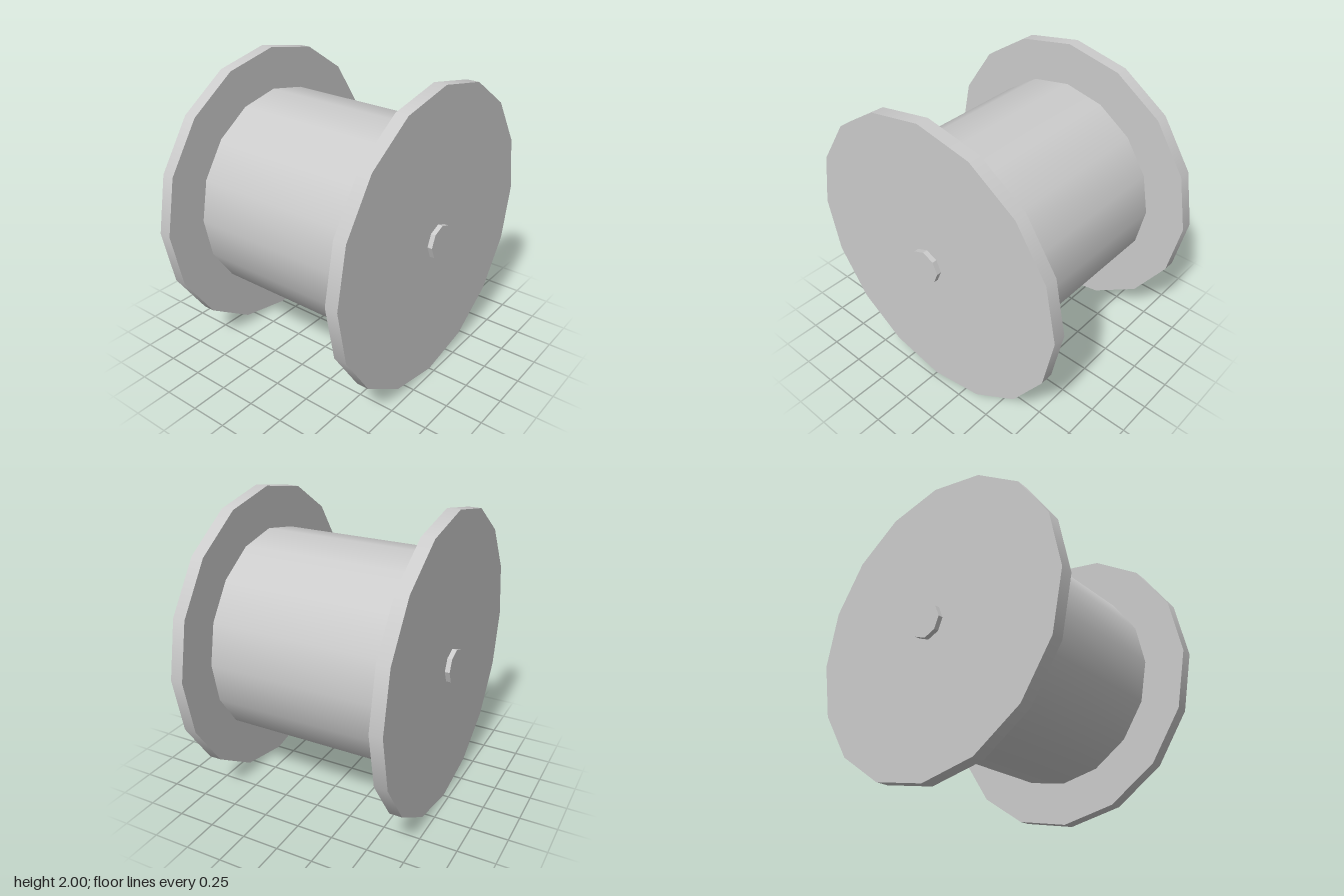
import * as THREE from 'three';

const smooth = new THREE.MeshStandardMaterial({ color: 0xcccccc });
const faceted = new THREE.MeshStandardMaterial({ color: 0xcccccc, flatShading: true });

// Cylinder lying along x, spanning x0..x1, with a corner at the top
function disc(name, radius, x0, x1, sides, material, open = false) {
  const geometry = new THREE.CylinderGeometry(radius, radius, x1 - x0, sides, 1, open);
  geometry.rotateZ(-Math.PI / 2);
  const mesh = new THREE.Mesh(geometry, material);
  mesh.name = name;
  mesh.position.set((x0 + x1) / 2, 1, 0);
  return mesh;
}

export function createModel() {
  const spool = new THREE.Group();
  spool.name = 'spool';

  // Winding core between the flanges
  spool.add(disc('core', 0.715, -0.63, 0.63, 16, smooth, true));

  // Flange and axle end on each side
  for (const [side, s] of [['left', 1], ['right', -1]]) {
    const span = (a, b) => (s > 0 ? [a, b] : [-b, -a]);
    spool.add(disc(side + 'Flange', 1, ...span(0.628, 0.713), 16, smooth));
    spool.add(disc(side + 'AxleEnd', 0.113, ...span(0.7, 0.745), 8, faceted));
  }
  return spool;
}
